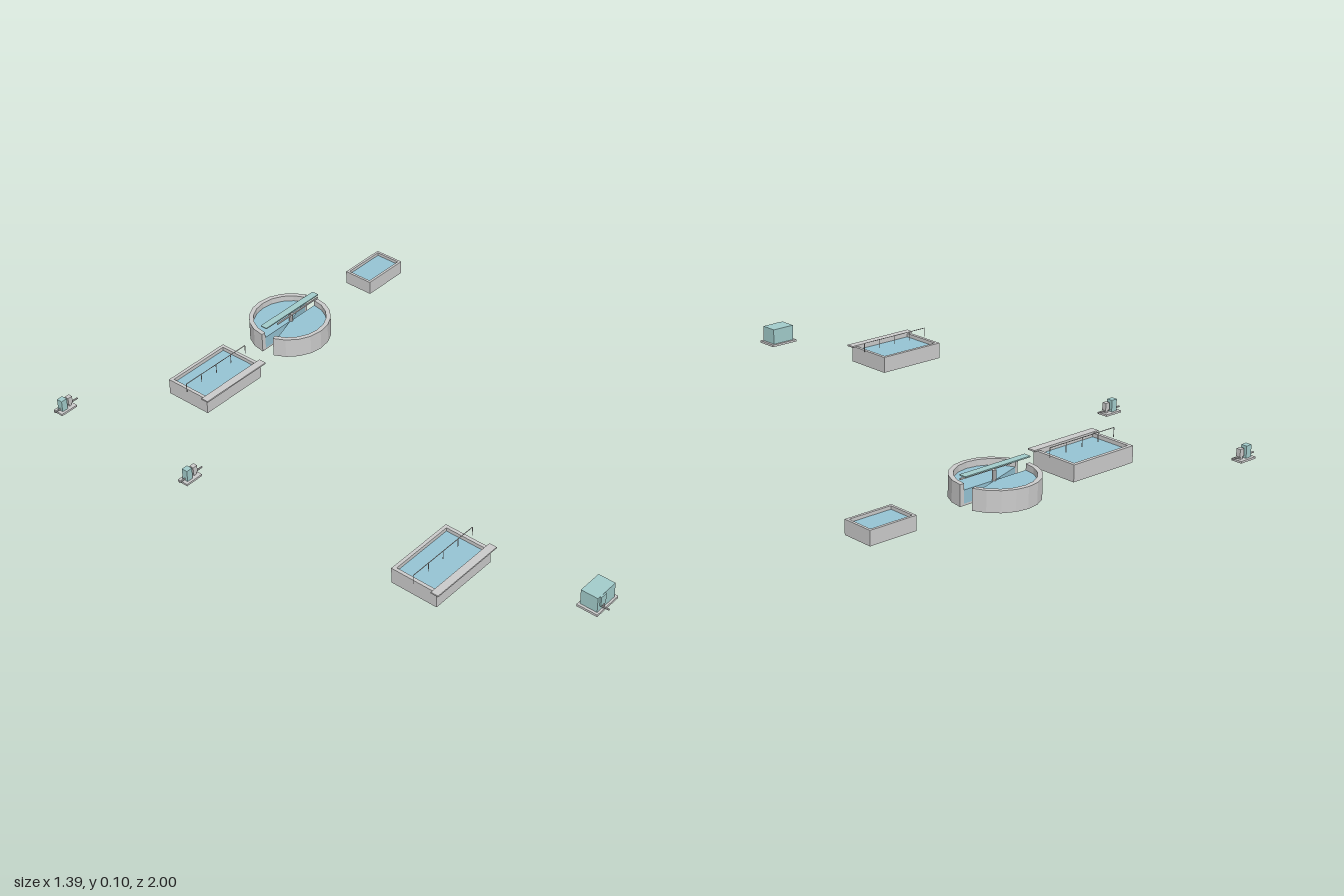
import * as THREE from 'three';

const mat = (color) => new THREE.MeshStandardMaterial({ color, flatShading: true });
const grey = mat(0xcccccc);
const water = mat(0x95c3d3);
const green = mat(0xa2cccb);

function add(parent, name, geometry, material = grey) {
  const mesh = new THREE.Mesh(geometry, material);
  mesh.name = name;
  parent.add(mesh);
  return mesh;
}

// Box given by its limits on each axis
function box(parent, name, [x0, x1], [y0, y1], [z0, z1], material) {
  const g = new THREE.BoxGeometry(x1 - x0, y1 - y0, z1 - z0);
  g.translate((x0 + x1) / 2, (y0 + y1) / 2, (z0 + z1) / 2);
  return add(parent, name, g, material);
}

// Round bar between two points
function bar(parent, name, a, b, r, material) {
  const p = new THREE.Vector3(...a), d = new THREE.Vector3(...b).sub(p);
  const mesh = add(parent, name, new THREE.CylinderGeometry(r, r, d.length(), 8), material);
  mesh.position.copy(p).addScaledVector(d, 0.5);
  mesh.quaternion.setFromUnitVectors(new THREE.Vector3(0, 1, 0), d.normalize());
  return mesh;
}

function group(parent, name, x, z) {
  const g = new THREE.Group();
  g.name = name;
  g.position.set(x, 0, z);
  parent.add(g);
  return g;
}

// Open rectangular tank: four walls, floor and water
function basin(parent, name, x, z, w, d, h, level, t = 0.012) {
  const g = group(parent, name, x, z);
  const X = w / 2, Z = d / 2;
  box(g, 'floor', [-X, X], [0, 0.006], [-Z, Z]);
  for (const s of [-1, 1]) {
    const side = box(g, 'sideWall', [-t / 2, t / 2], [0, h], [-Z, Z]);
    side.position.x = s * (X - t / 2);
    const end = box(g, 'endWall', [-X + t, X - t], [0, h], [-t / 2, t / 2]);
    end.position.z = s * (Z - t / 2);
  }
  box(g, 'water', [-X + t, X - t], [0.006, level], [-Z + t, Z - t], water);
  return g;
}

// Rectangular tank with a front walkway and a row of railing posts
function aerationTank(parent, x, z) {
  const w = 0.262, d = 0.175, h = 0.057, L = 0.142;
  const g = basin(parent, 'aerationTank', x, z, w, d, h, 0.044);
  box(g, 'walkway', [-L, L], [h - 0.001, h + 0.004], [d / 2 - 0.014, d / 2 + 0.014]);
  const rz = 0.007;
  bar(g, 'handrail', [-L, 0.089, rz], [L, 0.089, rz], 0.0013);
  for (let i = 0; i < 5; i++) {
    const px = -L + (i * L) / 2;
    bar(g, 'railPost', [px, h, rz], [px, 0.089, rz], 0.0013);
  }
}

// Sector of a ring (or a pie when inner is 0), extruded upward
function sector(inner, outer, from, steps, y0, y1) {
  const pts = [];
  const point = (r, i) => {
    const a = from + (i * Math.PI) / 10;
    pts.push(new THREE.Vector2(Math.cos(a) * r, Math.sin(a) * r));
  };
  for (let i = 0; i <= steps; i++) point(outer, i);
  if (inner > 0) for (let i = steps; i >= 0; i--) point(inner, i);
  else pts.push(new THREE.Vector2(0, 0));
  const g = new THREE.ExtrudeGeometry(new THREE.Shape(pts), { depth: y1 - y0, bevelEnabled: false });
  g.rotateX(-Math.PI / 2);
  g.translate(0, y0, 0);
  return g;
}

// Round settling tank in two halves, with a bridge and scraper arm
function clarifier(parent, x, z) {
  const g = group(parent, 'clarifier', x, z);
  const R = 0.143, r = 0.127;
  for (const start of [Math.PI / 10, (11 * Math.PI) / 10]) {
    add(g, 'tankWall', sector(r, R, start, 9, 0, 0.071));
    add(g, 'tankFloor', sector(0, r, start, 9, 0, 0.006));
    add(g, 'water', sector(0, r, start, 9, 0.006, 0.05), water);
  }
  bar(g, 'centreColumn', [0.005, 0.004, 0], [0.005, 0.084, 0], 0.007);
  box(g, 'scraperArm', [-0.075, 0.135], [0.081, 0.086], [0.008, 0.013]);
  box(g, 'bridge', [-0.133, 0.135], [0.094, 0.098], [-0.013, 0.013], green);
}

// Small blower: base, housing, motor and through pipe
function blower(parent, x, z) {
  const g = group(parent, 'blower', x, z);
  box(g, 'base', [-0.034, 0.034], [0, 0.007], [-0.02, 0.02]);
  box(g, 'housing', [-0.022, 0.001], [0.007, 0.048], [-0.011, 0.011], green);
  box(g, 'motor', [0.009, 0.027], [0.016, 0.042], [-0.008, 0.008]);
  box(g, 'motorFoot', [0.013, 0.023], [0.007, 0.016], [-0.006, 0.006]);
  bar(g, 'pipe', [-0.047, 0.014, 0], [0.055, 0.014, 0], 0.003);
}

// Control cabin: slab, body, front panel and outlet
function cabin(parent, x, z) {
  const g = group(parent, 'controlCabin', x, z);
  box(g, 'slab', [-0.054, 0.054], [0, 0.008], [-0.038, 0.038]);
  box(g, 'body', [-0.045, 0.045], [0.008, 0.063], [-0.031, 0.031], green);
  box(g, 'panel', [-0.034, -0.008], [0.026, 0.062], [0.031, 0.036], green);
  bar(g, 'outletRiser', [-0.02, 0.014, 0.036], [-0.02, 0.028, 0.036], 0.004);
  bar(g, 'outletPipe', [-0.02, 0.016, 0.03], [-0.02, 0.016, 0.057], 0.003);
}

export function createModel() {
  const model = new THREE.Group();
  model.name = 'waterTreatmentPlant';
  aerationTank(model, -0.237, -0.685);
  aerationTank(model, -0.493, 0.5);
  clarifier(model, 0.15, -0.694);
  basin(model, 'storageTank', 0.6, -0.692, 0.176, 0.112, 0.049, 0.038, 0.009);
  blower(model, -0.653, -0.98);
  blower(model, -0.653, -0.402);
  cabin(model, -0.302, 0.943);
  return model;
}
